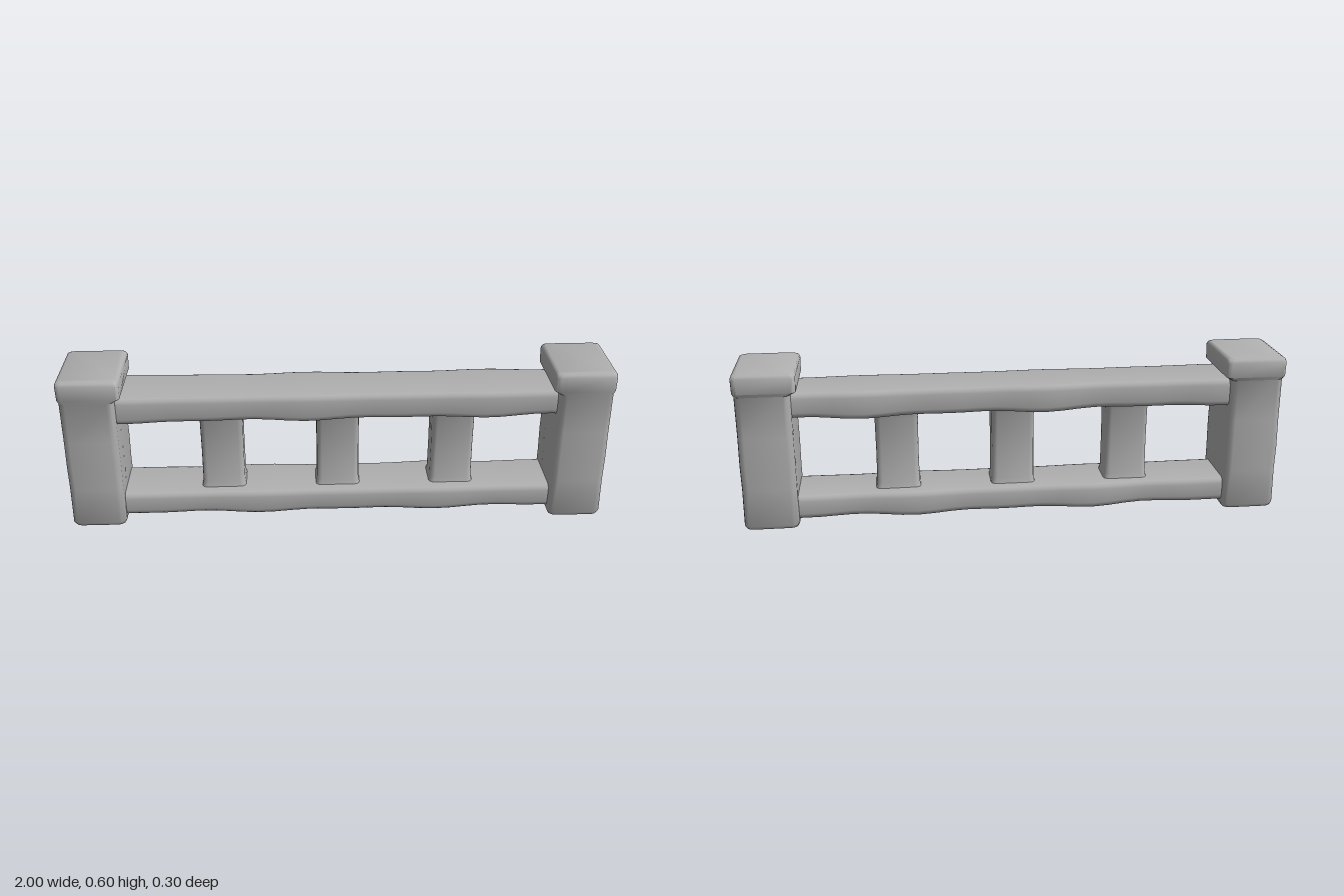
import * as THREE from 'three';
import { toCreasedNormals } from 'three/addons/utils/BufferGeometryUtils.js';

const CORNER = 3; // segments per rounded corner

// Loft of rounded rectangles stacked in y. Ring: [y, halfX, halfZ, radius, centreX, centreZ]
function loft(rings) {
  const pos = [], index = [], n = 4 * (CORNER + 1);
  for (const [y, hx, hz, r, cx = 0, cz = 0] of rings) {
    for (let c = 0; c < 4; c++) {
      const sx = c === 0 || c === 3 ? 1 : -1, sz = c < 2 ? 1 : -1;
      for (let k = 0; k <= CORNER; k++) {
        const a = (c + k / CORNER) * Math.PI / 2;
        pos.push(cx + sx * (hx - r) + r * Math.cos(a), y, cz + sz * (hz - r) + r * Math.sin(a));
      }
    }
  }
  for (let i = 0; i < rings.length - 1; i++) {
    for (let j = 0; j < n; j++) {
      const a = i * n + j, b = i * n + (j + 1) % n;
      index.push(a, a + n, b, b, a + n, b + n);
    }
  }
  // end caps
  const last = (rings.length - 1) * n;
  for (let j = 1; j < n - 1; j++) {
    index.push(0, j, j + 1);
    index.push(last, last + j + 1, last + j);
  }
  const g = new THREE.BufferGeometry();
  g.setAttribute('position', new THREE.Float32BufferAttribute(pos, 3));
  g.setIndex(index);
  return toCreasedNormals(g, 0.75);
}

// Worn stone beam along x, with gentle unevenness
function beam(y0, y1, hz, phase) {
  const rings = [], len = 1.68, steps = 28, hy = (y1 - y0) / 2;
  for (let i = 0; i <= steps; i++) {
    const t = i / steps;
    const w = Math.sin(t * 17 + phase) * 0.003 + Math.sin(t * 31 + phase * 2) * 0.002;
    rings.push([(t - 0.5) * len, hy + w * 0.6, hz + w, 0.022, w * 0.5, -w * 0.4]);
  }
  const g = loft(rings);
  g.rotateZ(-Math.PI / 2);
  g.translate(0, (y0 + y1) / 2, 0);
  return g;
}

export function createModel() {
  const group = new THREE.Group();
  const stone = new THREE.MeshStandardMaterial({ color: 0xb0b0b0 });
  stone.name = 'grey stone';
  const add = (name, geometry, x = 0) => {
    const mesh = new THREE.Mesh(geometry, stone);
    mesh.name = name;
    mesh.position.x = x;
    group.add(mesh);
  };

  // End posts: recessed foot, plain shaft and an overhanging cap
  for (const s of [-1, 1]) {
    const o = s * 0.897;
    const c = s * 0.888;
    add(s < 0 ? 'rightPost' : 'leftPost', loft([
      [0.04, 0.05, 0.08, 0.02, o, 0.004],
      [0.025, 0.068, 0.105, 0.022, o, 0.004],
      [0.002, 0.076, 0.112, 0.025, o, 0.004],
      [0, 0.084, 0.12, 0.026, o, 0.004],
      [0.006, 0.094, 0.133, 0.026, o, 0.004],
      [0.02, 0.1, 0.14, 0.026, o, 0.004],
      [0.16, 0.098, 0.139, 0.024, o, 0.004],
      [0.25, 0.099, 0.141, 0.024, o, 0.003],
      [0.36, 0.098, 0.139, 0.024, o, 0.004],
      [0.515, 0.098, 0.14, 0.024, o, 0.004],
      [0.53, 0.111, 0.148, 0.018, c, 0],
      [0.585, 0.112, 0.149, 0.018, c, 0],
      [0.595, 0.108, 0.144, 0.018, c, 0],
      [0.6, 0.098, 0.134, 0.016, c, 0],
    ]));
  }

  // Rails
  add('topRail', beam(0.415, 0.515, 0.11, 0.4));
  add('bottomRail', beam(0.028, 0.12, 0.11, 2.1));

  // Balusters, flared where they meet the rails
  for (const x of [-0.43, 0, 0.43]) {
    add('baluster', loft([
      [0.1, 0.087, 0.07, 0.02],
      [0.12, 0.083, 0.066, 0.02],
      [0.14, 0.079, 0.06, 0.02],
      [0.265, 0.078, 0.058, 0.018],
      [0.395, 0.079, 0.06, 0.02],
      [0.415, 0.083, 0.066, 0.02],
      [0.435, 0.087, 0.07, 0.02],
    ]), x);
  }
  return group;
}
